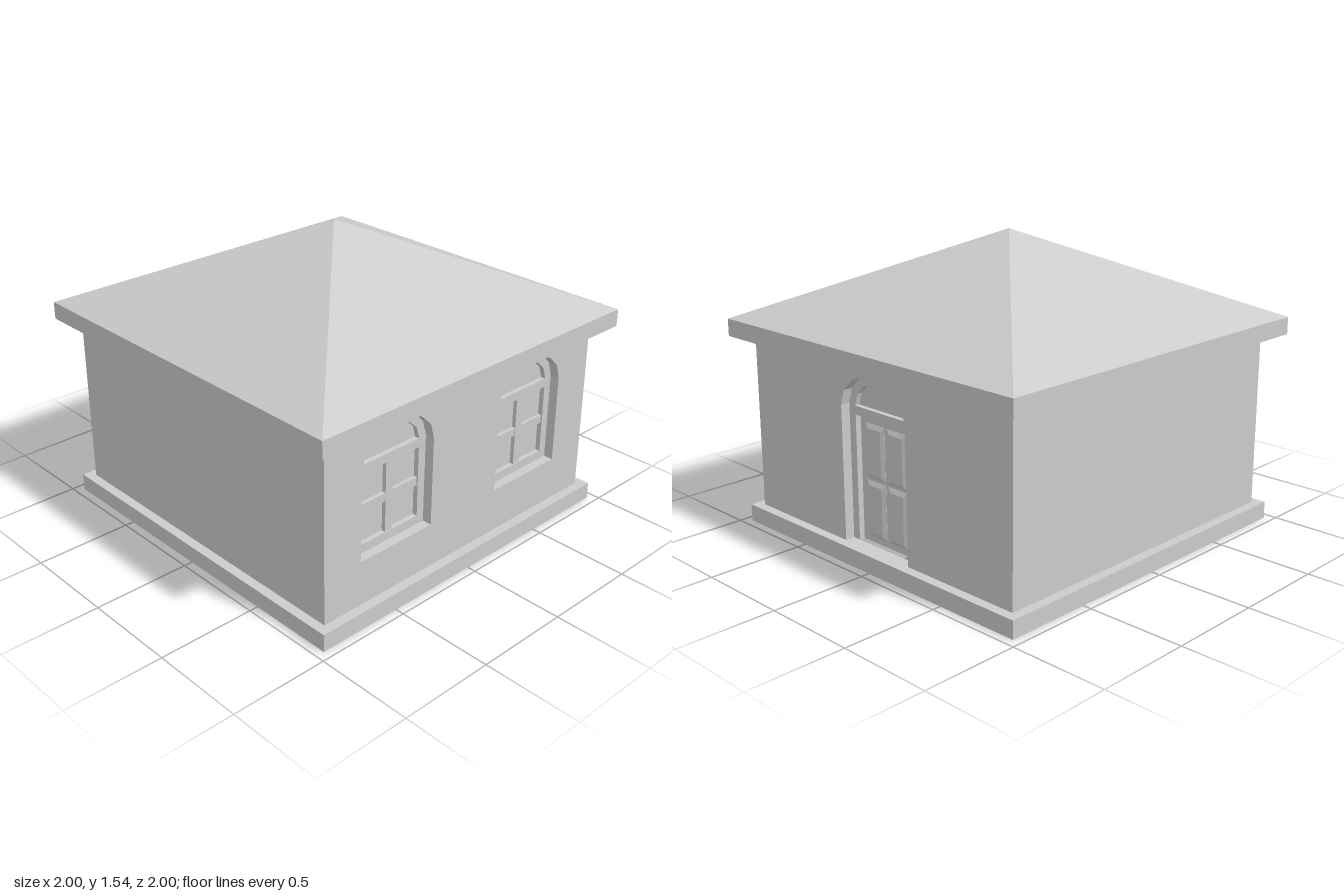
import * as THREE from 'three';

const mat = new THREE.MeshStandardMaterial({ color: 0xcccccc, flatShading: true, side: THREE.DoubleSide });
const WALL = 0.905, Y0 = 0.09, Y1 = 1;      // wall half width, bottom, top
const OUT = 0.2275, IN = 0.183;             // half widths of opening and of glazing
const SPRING = 0.78, RECESS = 0.05, FRAME = 0.04;
const WINDOW_X = 0.455;

const V = (x, y) => new THREE.Vector2(x, y);

function add(parent, name, geometry, x = 0, y = 0, z = 0) {
  const mesh = new THREE.Mesh(geometry, mat);
  mesh.name = name;
  mesh.position.set(x, y, z);
  parent.add(mesh);
  return mesh;
}

// Seven-sided arch, running from right to left
function arch(rx, ry, cx = 0) {
  return Array.from({ length: 8 }, (_, i) => {
    const a = (i * Math.PI) / 7;
    return V(cx + rx * Math.cos(a), SPRING + ry * Math.sin(a));
  });
}

// Arched outline standing on a straight bottom edge
const archedOutline = (rx, ry, bottom, cx = 0) =>
  [V(cx + rx, bottom), ...arch(rx, ry, cx), V(cx - rx, bottom)];

const rect = (x0, y0, x1, y1) => [V(x0, y0), V(x1, y0), V(x1, y1), V(x0, y1)];

function shape(points, holes = []) {
  const s = new THREE.Shape(points);
  s.holes = holes.map((h) => new THREE.Path(h));
  return s;
}

const extrude = (s, depth) => new THREE.ExtrudeGeometry(s, { depth, bevelEnabled: false });

// Strip of quads that lines an opening from the wall face back to the frame
function revealGeometry(points, depth) {
  const pos = [];
  points.forEach((p, i) => {
    const q = points[(i + 1) % points.length];
    pos.push(p.x, p.y, 0, q.x, q.y, 0, q.x, q.y, -depth);
    pos.push(p.x, p.y, 0, q.x, q.y, -depth, p.x, p.y, -depth);
  });
  const g = new THREE.BufferGeometry();
  g.setAttribute('position', new THREE.Float32BufferAttribute(pos, 3));
  g.computeVertexNormals();
  return g;
}

// Square ring or pyramid swept from a half profile
function squareSweep(profile) {
  const pts = profile.map(([r, y]) => V(r * Math.SQRT2, y));
  const g = new THREE.LatheGeometry(pts, 4, Math.PI / 4).toNonIndexed();
  g.computeVertexNormals();
  return g;
}

const windowOutline = (cx = 0) => archedOutline(OUT, 0.18, 0.32, cx);
const doorOutline = () => archedOutline(OUT, 0.18, Y0);
const fanlight = () => archedOutline(IN, 0.134, 0.775);

function createWindow() {
  const g = new THREE.Group();
  g.name = 'window';
  add(g, 'windowReveal', revealGeometry(windowOutline(), RECESS));
  const sash = rect(-IN, 0.365, IN, 0.73);
  add(g, 'windowFrame', extrude(shape(windowOutline(), [fanlight(), sash]), FRAME), 0, 0, -RECESS - FRAME);
  // Glazing bars
  add(g, 'verticalBar', new THREE.BoxGeometry(0.044, 0.365, 0.022), 0, 0.5475, -0.066);
  add(g, 'crossBar', new THREE.BoxGeometry(2 * IN, 0.044, 0.02), 0, 0.5475, -0.067);
  // Panes
  add(g, 'fanlightPane', new THREE.ShapeGeometry(shape(fanlight())), 0, 0, -0.076);
  add(g, 'sashPane', new THREE.ShapeGeometry(shape(sash)), 0, 0, -0.076);
  return g;
}

function createDoor() {
  const g = new THREE.Group();
  g.name = 'door';
  add(g, 'doorReveal', revealGeometry(doorOutline(), RECESS));
  const outline = [...doorOutline(), V(-IN, Y0), V(-IN, 0.73), V(IN, 0.73), V(IN, Y0)];
  add(g, 'doorFrame', extrude(shape(outline, [fanlight()]), FRAME), 0, 0, -RECESS - FRAME);
  add(g, 'fanlightPane', new THREE.ShapeGeometry(shape(fanlight())), 0, 0, -0.076);
  add(g, 'doorLeaf', new THREE.BoxGeometry(2 * IN, 0.64, 0.02), 0, 0.41, -0.09);
  // Raised panels with sloping borders
  const bevel = 0.022;
  for (const side of [-1, 1]) {
    for (const [low, high] of [[0.12, 0.407], [0.42, 0.695]]) {
      const w = 0.068 - bevel, h = (high - low) / 2 - bevel;
      const panel = new THREE.ExtrudeGeometry(shape(rect(-w, -h, w, h)), {
        depth: 0.001, bevelThickness: 0.01, bevelSize: bevel, bevelSegments: 1,
      });
      add(g, 'doorPanel', panel, side * 0.077, (low + high) / 2, -0.08);
    }
  }
  return g;
}

function createWall(name, angle, holes, fittings) {
  const g = new THREE.Group();
  g.name = name;
  const face = new THREE.ShapeGeometry(shape(rect(-WALL, Y0, WALL, Y1), holes));
  add(g, name + 'Face', face, 0, 0, WALL);
  for (const f of fittings) {
    f.position.z = WALL;
    g.add(f);
  }
  g.rotation.y = angle;
  return g;
}

export function createModel() {
  const house = new THREE.Group();
  house.name = 'house';

  // Hollow plinth and roof with boxed eaves
  add(house, 'plinth', squareSweep([[0.93, Y0], [0.93, 0], [0.955, 0], [0.955, Y0], [WALL, Y0]]));
  add(house, 'roof', squareSweep([[WALL, Y1], [1, Y1], [1, 1.09], [0, 1.545]]));

  // Walls
  const windows = [-WINDOW_X, WINDOW_X].map((x) => {
    const w = createWindow();
    w.position.x = x;
    return w;
  });
  house.add(
    createWall('frontWall', 0, [windowOutline(-WINDOW_X), windowOutline(WINDOW_X)], windows),
    createWall('backWall', Math.PI, [], []),
    createWall('blankSideWall', -Math.PI / 2, [], []),
  );

  // The doorway is a notch in the lower edge of its wall
  const doorWall = createWall('doorWall', Math.PI / 2, [], [createDoor()]);
  const notch = doorOutline();
  doorWall.children[0].geometry = new THREE.ShapeGeometry(shape(
    [V(WALL, Y0), V(WALL, Y1), V(-WALL, Y1), V(-WALL, Y0), ...notch.reverse()]));
  house.add(doorWall);
  return house;
}
